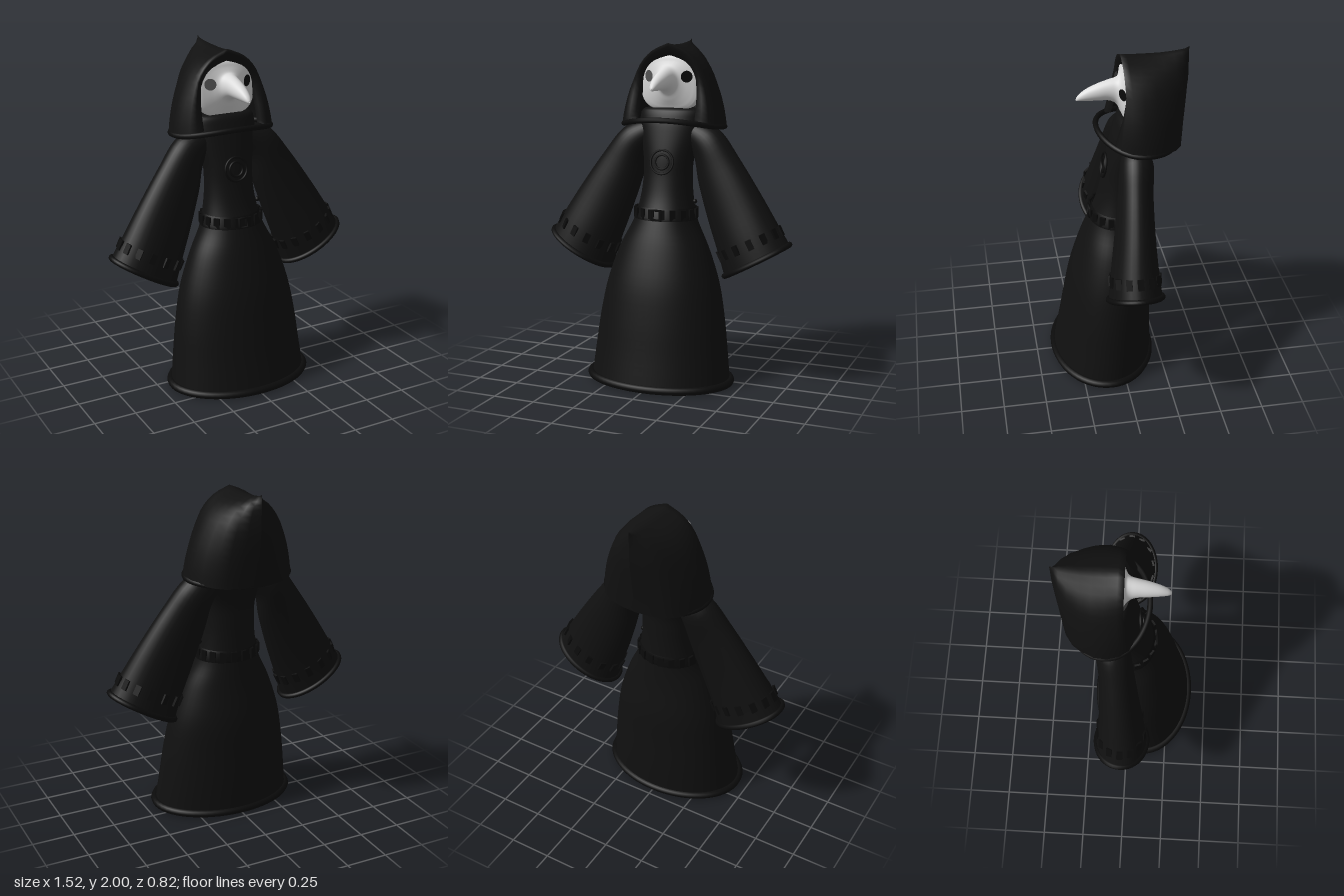
import * as THREE from 'three';

const mat = (name, color, side = THREE.DoubleSide) => {
  const m = new THREE.MeshStandardMaterial({ color, side });
  m.name = name;
  return m;
};
const V = (x, y, z) => new THREE.Vector3(x, y, z);

// Skin a list of equal-length cross-sections
function loft(rings, closed = true) {
  const n = rings[0].length, index = [];
  const steps = closed ? n : n - 1;
  for (let r = 0; r < rings.length - 1; r++) {
    for (let i = 0; i < steps; i++) {
      const a = r * n + i, b = r * n + (i + 1) % n;
      index.push(a, a + n, b, b, a + n, b + n);
    }
  }
  const g = new THREE.BufferGeometry().setFromPoints(rings.flat());
  g.setIndex(index);
  g.computeVertexNormals();
  return g;
}

function ring(n, fn) {
  return Array.from({ length: n }, (_, i) => fn((i / n) * Math.PI * 2));
}

// Resample control rows smoothly so that the lofts stay rounded
function smoothRows(rows, count) {
  const out = [];
  const h = (a, b, c, d, t) => 0.5 * (2 * b + (c - a) * t + (2 * a - 5 * b + 4 * c - d) * t * t + (3 * b - a - 3 * c + d) * t * t * t);
  for (let k = 0; k <= count; k++) {
    const f = (k / count) * (rows.length - 1);
    const i = Math.min(Math.floor(f), rows.length - 2);
    const at = (j) => rows[Math.max(0, Math.min(rows.length - 1, j))];
    out.push(rows[i].map((_, c) => h(at(i - 1)[c], at(i)[c], at(i + 1)[c], at(i + 2)[c], f - i)));
  }
  return out;
}

const hem = (points, radius) =>
  new THREE.TubeGeometry(new THREE.CatmullRomCurve3(points, true), 64, radius, 8, true);

export function createModel() {
  const model = new THREE.Group();
  const cloth = mat('black cloth', 0x101010);
  const trim = mat('black trim', 0x0b0b0b);
  const bone = mat('pale mask', 0xdcdcdc);
  const lens = mat('grey lens', 0x555555);
  const gold = mat('gold', 0xd9a514);
  const add = (name, geo, material, parent = model) => {
    const m = new THREE.Mesh(geo, material);
    m.name = name;
    parent.add(m);
    return m;
  };

  // Robe: height, half width, front z, back z
  const robeRows = smoothRows([
    [0.02, 0.425, 0.39, -0.205], [0.2, 0.405, 0.355, -0.205], [0.4, 0.38, 0.32, -0.2],
    [0.6, 0.34, 0.28, -0.195], [0.8, 0.27, 0.22, -0.165], [0.95, 0.195, 0.165, -0.15],
    [1.08, 0.162, 0.115, -0.142], [1.2, 0.15, 0.085, -0.14], [1.32, 0.155, 0.065, -0.145],
    [1.45, 0.19, 0.035, -0.19], [1.54, 0.2, 0.01, -0.2], [1.6, 0.17, -0.02, -0.18],
    [1.61, 0.01, -0.09, -0.11],
  ], 48);
  const robeRing = ([y, w, f, b]) => ring(48, (a) =>
    V(w * Math.cos(a), y, (f + b) / 2 + ((f - b) / 2) * Math.sin(a)));
  add('robe', loft(robeRows.map(robeRing)), cloth);
  add('robeHem', hem(robeRing([0.025, 0.43, 0.388, -0.2]), 0.023), trim);

  // Ring resting inside the skirt
  const band = add('goldRing', new THREE.TorusGeometry(0.125, 0.02, 12, 40), gold);
  band.rotation.x = Math.PI / 2;
  band.position.set(0, 0.13, 0.1);

  // Belt with small studs
  const belt = [[1.035, 0.172, 0.138, -0.147], [1.02, 0.18, 0.145, -0.152],
    [0.98, 0.193, 0.16, -0.156], [0.965, 0.194, 0.162, -0.152]];
  add('belt', loft(belt.map(robeRing)), trim);
  const studs = ring(18, (a) => V(0.187 * Math.cos(a), 1.0, 0.155 * Math.sin(a)));
  for (const p of studs) {
    const s = add('beltStud', new THREE.BoxGeometry(0.035, 0.06, 0.012), trim);
    s.position.copy(p);
    s.rotation.y = Math.atan2(p.x, p.z);
  }
  const buckle = add('beltBuckle', new THREE.TorusGeometry(0.04, 0.009, 4, 4), trim);
  buckle.rotation.z = Math.PI / 4;
  buckle.position.set(0, 1.0, 0.16);
  const clasp = add('beltClasp', new THREE.SphereGeometry(0.014, 12, 8), trim);
  clasp.position.set(0.18, 1.07, 0);

  // Chest medallion
  const medal = new THREE.Group();
  medal.name = 'medallion';
  medal.position.set(0, 1.3, 0.07);
  medal.rotation.x = -0.17;
  model.add(medal);
  for (const r of [0.07, 0.042]) add('medallionRing', new THREE.TorusGeometry(r, 0.007, 8, 32), trim, medal);

  // Sleeves: inner x, y, outer x, y, half depth, centre z
  const sleeveRows = smoothRows([
    [0.08, 1.42, 0.16, 1.53, 0.06, -0.08], [0.15, 1.32, 0.3, 1.48, 0.095, -0.08],
    [0.185, 1.17, 0.43, 1.32, 0.1, -0.06], [0.25, 0.97, 0.57, 1.12, 0.115, -0.04],
    [0.32, 0.78, 0.68, 0.95, 0.135, -0.025], [0.365, 0.64, 0.745, 0.85, 0.15, -0.02],
  ], 24);
  for (const side of [1, -1]) {
    const name = side > 0 ? 'left' : 'right';
    const section = ([ix, iy, ox, oy, d, z], n = 32, grow = 1) => ring(n, (a) => {
      const c = Math.cos(a) * 0.5 * grow;
      return V(side * ((ix + ox) / 2 + (ox - ix) * c), (iy + oy) / 2 + (oy - iy) * c, z + d * grow * Math.sin(a));
    });
    add(name + 'Sleeve', loft(sleeveRows.map((r) => section(r))), cloth);
    add(name + 'Cuff', hem(section(sleeveRows[24]), 0.016), trim);
    // Raised blocks around the cuff
    const row = sleeveRows[20];
    const centre = V(side * (row[0] + row[2]) / 2, (row[1] + row[3]) / 2, row[5]);
    for (const p of section(row, 14, 1.01)) {
      const b = add(name + 'CuffBlock', new THREE.BoxGeometry(0.035, 0.06, 0.012), trim);
      const out = p.clone().sub(centre).normalize();
      const down = V(side * 0.45, -0.89, 0);
      const across = new THREE.Vector3().crossVectors(down, out).normalize();
      b.quaternion.setFromRotationMatrix(new THREE.Matrix4().makeBasis(across, down, out));
      b.position.copy(p);
    }
  }

  // Hood: arches from the face opening to the pointed back
  // z at bottom, z at top, half width, bottom y, top y, squareness
  const profile = smoothRows([[0, 1, 1], [0.2, 0.95, 1], [0.45, 0.84, 0.96], [0.72, 0.64, 0.83], [0.9, 0.36, 0.5], [1, 0, 0]], 15);
  const arch = ([zb, zt, w, yb, yt, sq]) => {
    const half = profile.map(([t, a, b]) =>
      V(w * (a + (b - a) * sq), yb + (yt - yb) * t, zb + (zt - zb) * Math.min(1, t * 1.6)));
    const mirror = half.slice(0, -1).reverse().map((p) => V(-p.x, p.y, p.z));
    return [...half, ...mirror];
  };
  add('hood', loft([
    [0.0, -0.07, 0.175, 1.54, 1.9, 1], [0.03, -0.042, 0.185, 1.54, 1.915, 1],
    [0.03, -0.03, 0.225, 1.53, 1.96, 0.6], [0.01, -0.025, 0.265, 1.52, 1.98, 0.2],
    [-0.04, -0.06, 0.3, 1.505, 1.975, 0], [-0.11, -0.12, 0.318, 1.5, 1.97, 0],
    [-0.18, -0.19, 0.31, 1.495, 1.97, 0], [-0.24, -0.255, 0.28, 1.49, 1.973, 0],
    [-0.3, -0.32, 0.235, 1.485, 1.98, 0], [-0.34, -0.365, 0.175, 1.48, 1.985, 0],
    [-0.36, -0.39, 0.09, 1.478, 1.99, 0], [-0.365, -0.41, 0.0, 1.475, 2.0, 0],
  ].map(arch), false), cloth);
  add('hoodHem', hem(ring(40, (a) => {
    const s = Math.sin(a);
    return V(0.308 * Math.cos(a), 1.5 + (s > 0 ? 0.045 * s * s : 0.015 * s), -0.12 + 0.23 * s);
  }), 0.016), trim);

  // Mask and beak: z, half width, top y, bottom y, roundness
  const maskRows = [
    [-0.12, 0.175, 1.91, 1.59, 0.65], [-0.06, 0.182, 1.912, 1.59, 0.65],
    [-0.045, 0.165, 1.9, 1.6, 0.7], [-0.035, 0.135, 1.875, 1.62, 0.8],
    [-0.02, 0.092, 1.85, 1.65, 0.95], [0, 0.063, 1.842, 1.69, 1], [0.04, 0.05, 1.832, 1.712, 1],
    [0.1, 0.042, 1.813, 1.715, 1], [0.16, 0.031, 1.787, 1.716, 1],
    [0.2, 0.02, 1.76, 1.717, 1], [0.218, 0.01, 1.74, 1.718, 1], [0.223, 0.001, 1.73, 1.722, 1],
  ];
  const power = (v, e) => Math.sign(v) * Math.abs(v) ** e;
  add('beakedMask', loft(smoothRows(maskRows, 44).map(([z, w, t, b, e]) => ring(40, (a) =>
    V(w * power(Math.cos(a), e), (t + b) / 2 + ((t - b) / 2) * power(Math.sin(a), e), z)))), bone);

  // Eye lenses
  for (const side of [1, -1]) {
    const eye = add(side > 0 ? 'leftLens' : 'rightLens', new THREE.CircleGeometry(0.034, 24), side > 0 ? trim : lens);
    eye.position.set(side * 0.118, 1.79, -0.02);
    eye.rotation.y = side * 0.5;
  }

  return model;
}
